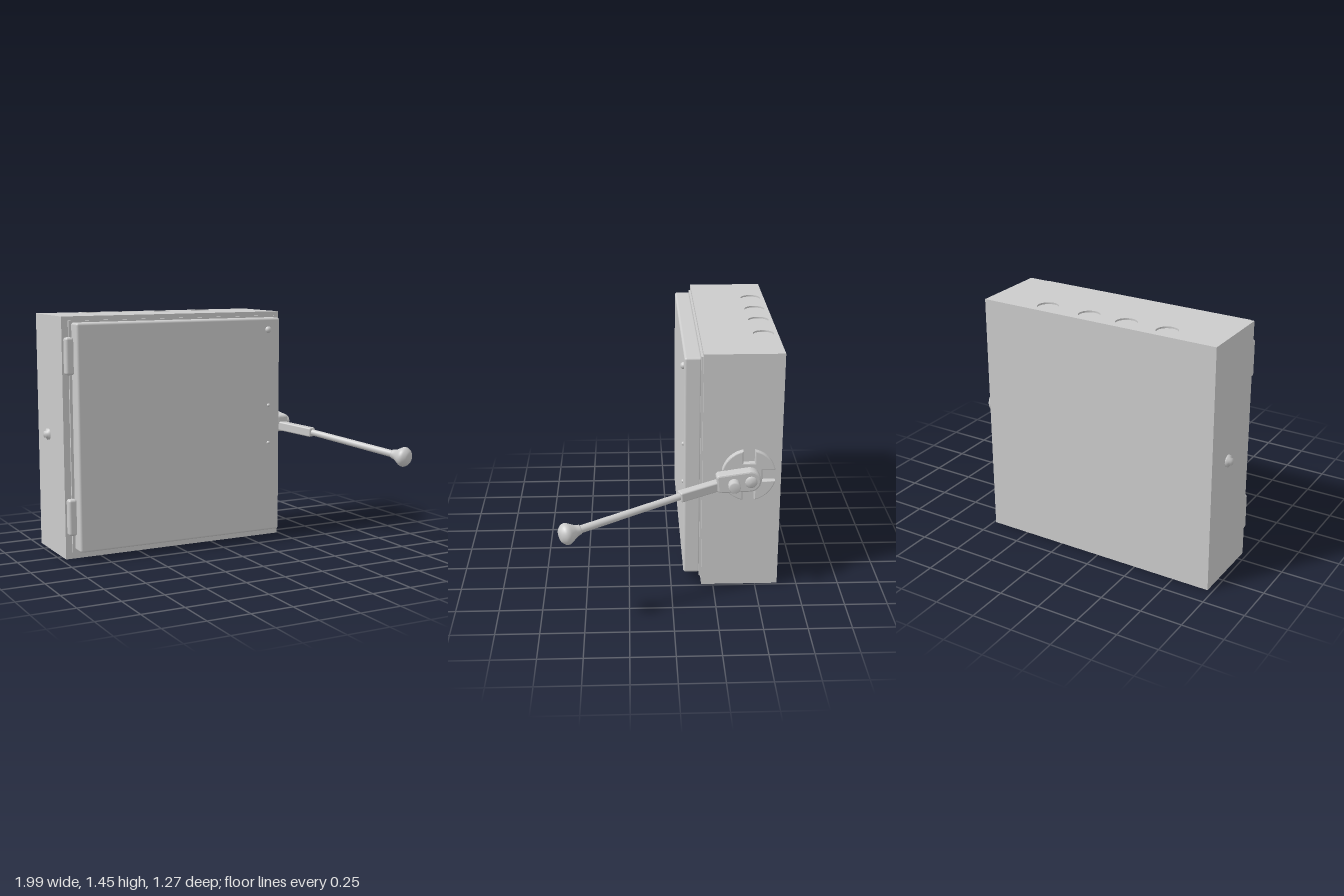
import * as THREE from 'three';
import { RoundedBoxGeometry } from 'three/addons/geometries/RoundedBoxGeometry.js';

const material = new THREE.MeshStandardMaterial({ color: 0xcccccc });

export function createModel() {
  const model = new THREE.Group();

  const add = (name, geometry, x = 0, y = 0, z = 0, parent = model) => {
    const mesh = new THREE.Mesh(geometry, material);
    mesh.name = name;
    mesh.position.set(x, y, z);
    parent.add(mesh);
    return mesh;
  };
  // Box given by its minimum and maximum corners, with an optional edge radius
  const block = (name, min, max, radius = 0) => {
    const s = max.map((v, i) => v - min[i]);
    const geometry = radius ? new RoundedBoxGeometry(...s, 3, radius) : new THREE.BoxGeometry(...s);
    return add(name, geometry, ...max.map((v, i) => (v + min[i]) / 2));
  };
  // Lathe turned about the x axis; profile holds [radius, offset along x]
  const turnedX = (name, profile, x, y, z, side = 1, segments = 24) => {
    const points = profile.map(([r, h]) => new THREE.Vector2(r, h));
    const mesh = add(name, new THREE.LatheGeometry(points, segments), x, y, z);
    mesh.rotation.z = -side * Math.PI / 2;
    return mesh;
  };
  // Shape drawn in (-z, y) and extruded along +x
  const sidePlate = (name, shape, x, y, z, depth, bevel) => {
    const geometry = new THREE.ExtrudeGeometry(shape, {
      depth: depth - 2 * bevel, bevelSize: bevel, bevelThickness: bevel,
      bevelOffset: -bevel, bevelSegments: 2, curveSegments: 16 });
    geometry.translate(0, 0, bevel);
    const mesh = add(name, geometry, x, y, z);
    mesh.rotation.y = Math.PI / 2;
    return mesh;
  };

  // Cabinet body with recessed knockouts in the top and bottom panels
  const [x0, x1, y0, y1, z0, z1] = [-0.97, 0.487, 0.01, 1.46, -0.635, -0.18];
  const panel = 0.01;
  block('cabinetBody', [x0, y0 + panel, z0], [x1, y1 - panel, z1]);
  const panelWithKnockouts = (name, y, centres) => {
    const shape = new THREE.Shape();
    shape.moveTo(x0, -z1).lineTo(x1, -z1).lineTo(x1, -z0).lineTo(x0, -z0).closePath();
    for (const x of centres) {
      shape.holes.push(new THREE.Path().absarc(x, 0.55, 0.062, 0, Math.PI * 2, true));
    }
    const geometry = new THREE.ExtrudeGeometry(shape, { depth: panel, bevelEnabled: false, curveSegments: 20 });
    add(name, geometry, 0, y, 0).rotation.x = -Math.PI / 2;
  };
  panelWithKnockouts('topPanel', y1 - panel, [-0.64, -0.39, -0.155, 0.115]);
  panelWithKnockouts('bottomPanel', y0, [-0.62, -0.35, -0.11, 0.14]);

  // Door with a seal behind it, hinges and rivets
  block('doorSeal', [-0.93, 0.05, -0.19], [0.455, 1.435, -0.168]);
  block('door', [-0.915, 0.065, -0.175], [0.44, 1.425, -0.075], 0.014);
  for (const y of [0.16, 1.12]) {
    block('hinge', [-0.962, y, -0.185], [-0.91, y + 0.22, -0.13], 0.015);
  }
  for (const [x, y, r, h] of [[0.355, 1.352, 0.021, 0.02], [0.36, 0.875, 0.011, 0.011], [0.36, 0.635, 0.011, 0.011]]) {
    const rivet = add('doorRivet', new THREE.SphereGeometry(1, 20, 10), x, y, -0.075);
    rivet.scale.set(r, r, h);
  }

  // Bolt on the left flank
  turnedX('sideBolt', [[0.035, -0.005], [0.035, 0.01], [0.022, 0.013], [0.02, 0.028], [0, 0.03]], x0, 0.735, -0.445, -1);

  // Round mounting plate with four slots
  const plate = new THREE.Shape();
  const R = 0.157, w = 0.034, inner = 0.078;
  const edge = Math.asin(w / R);
  for (let i = 0; i < 4; i++) {
    const a = i * Math.PI / 2, c = Math.cos(a), s = Math.sin(a);
    for (const side of [-w, w]) {
      const x = inner * c - side * s, y = inner * s + side * c;
      if (i === 0 && side < 0) plate.moveTo(x, y);
      else plate.lineTo(x, y);
    }
    plate.absarc(0, 0, R, a + edge, a + Math.PI / 2 - edge, false);
  }
  plate.closePath();
  sidePlate('mountingPlate', plate, 0.48, 0.735, -0.445, 0.04, 0.006);
  turnedX('plateHub', [[0.055, 0], [0.05, 0.035], [0, 0.035]], 0.51, 0.735, -0.445);

  // Knuckle with its two pins
  const knuckle = new THREE.Shape();
  knuckle.moveTo(-0.175, -0.068).lineTo(0, -0.064);
  knuckle.absarc(0, 0, 0.064, -Math.PI / 2, Math.PI / 2, false);
  knuckle.lineTo(-0.175, 0.042).quadraticCurveTo(-0.19, 0.04, -0.192, 0.025);
  knuckle.lineTo(-0.185, -0.055).closePath();
  sidePlate('knuckle', knuckle, 0.53, 0.736, -0.442, 0.075, 0.01).rotation.y += 0.04;
  turnedX('pivotPin', [[0.035, 0], [0.035, 0.01], [0.025, 0.022], [0, 0.024]], 0.597, 0.735, -0.45);
  turnedX('leverPin', [[0.034, -0.02], [0.034, 0.057], [0.028, 0.064], [0, 0.064]], 0.602, 0.725, -0.352);

  // Lever: square socket, round rod and knob, each aimed along its own line
  const lever = new THREE.Group();
  lever.name = 'lever';
  model.add(lever);
  const socketStart = new THREE.Vector3(0.555, 0.708, -0.3);
  const socketEnd = new THREE.Vector3(0.67, 0.683, -0.04);
  const rodEnd = new THREE.Vector3(0.905, 0.607, 0.515);
  const aimed = (name, geometry, from, to) => {
    const mesh = add(name, geometry, ...from.toArray(), lever);
    mesh.lookAt(to);
    return mesh;
  };
  const socketLength = socketStart.distanceTo(socketEnd);
  const socket = new RoundedBoxGeometry(0.056, 0.058, socketLength, 2, 0.009);
  aimed('leverSocket', socket.translate(0, 0, socketLength / 2), socketStart, socketEnd);
  const rodLength = socketEnd.distanceTo(rodEnd);
  const rod = new THREE.CylinderGeometry(0.022, 0.02, rodLength + 0.04, 20);
  aimed('leverRod', rod.rotateX(Math.PI / 2).translate(0, 0, rodLength / 2), socketEnd, rodEnd);
  const knobCurve = new THREE.SplineCurve([[0.027, -0.005], [0.033, 0.02], [0.048, 0.045], [0.06, 0.068],
    [0.058, 0.09], [0.04, 0.11], [0.02, 0.117], [0, 0.118]].map(p => new THREE.Vector2(...p)));
  const knobPoints = [new THREE.Vector2(0, -0.006), ...knobCurve.getPoints(24)];
  knobPoints[knobPoints.length - 1].x = 0;
  const knob = new THREE.LatheGeometry(knobPoints, 32).rotateX(Math.PI / 2);
  const beyond = rodEnd.clone().multiplyScalar(2).sub(socketEnd);
  aimed('leverKnob', knob, rodEnd, beyond);

  return model;
}
